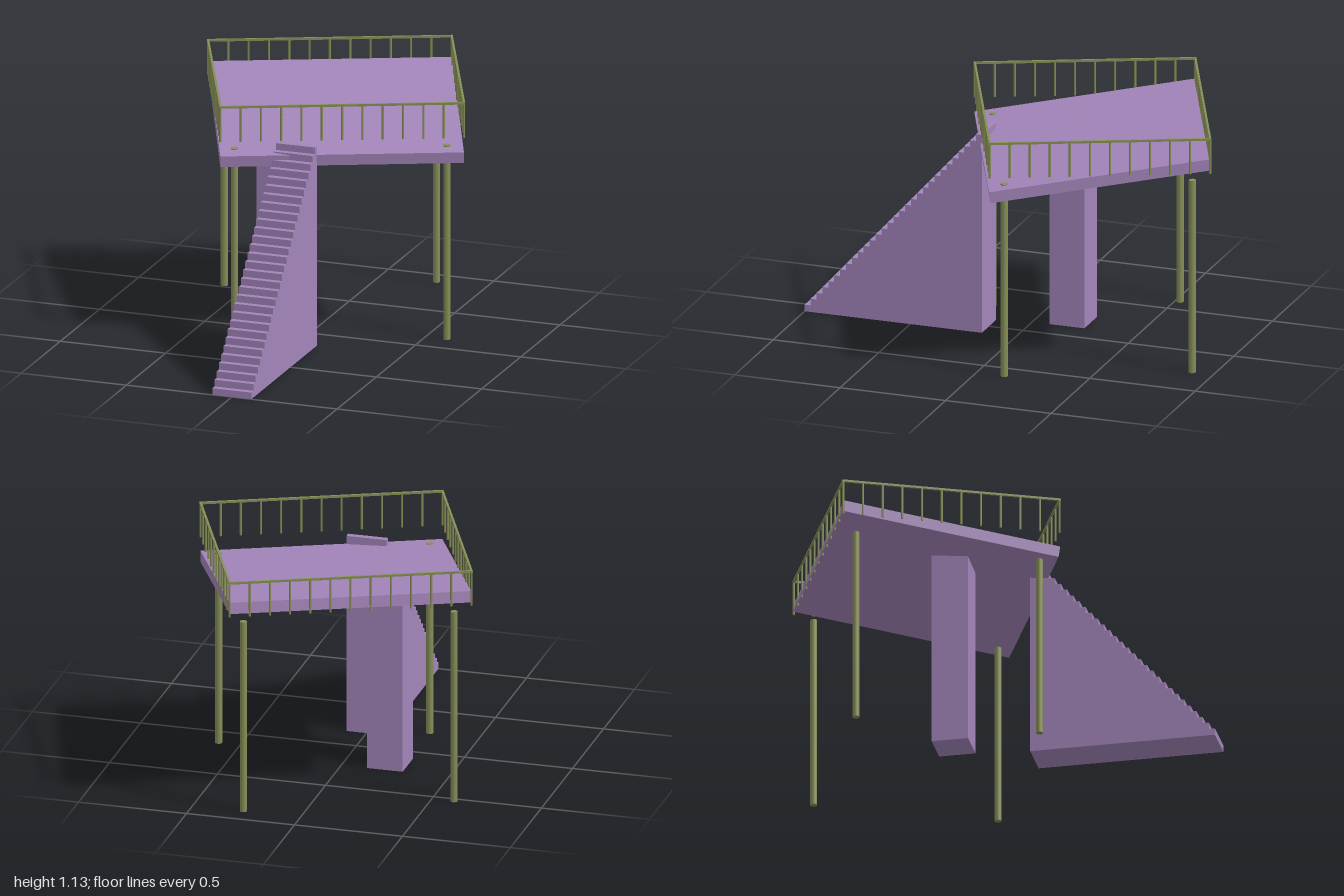
import * as THREE from 'three';

export function createModel() {
  const model = new THREE.Group();
  const purple = new THREE.MeshStandardMaterial({ color: 0xa385ba });
  purple.name = 'purple';
  const olive = new THREE.MeshStandardMaterial({ color: 0x868e56 });
  olive.name = 'olive';

  const add = (parent, name, geometry, material, x, y, z) => {
    const mesh = new THREE.Mesh(geometry, material);
    mesh.name = name;
    mesh.position.set(x, y, z);
    parent.add(mesh);
    return mesh;
  };

  // Staircase: stepped side profile extruded across its width
  const steps = 30, frontZ = 1, backZ = 0.16, stairTop = 0.933, stairWidth = 0.185;
  const profile = new THREE.Shape();
  profile.moveTo(-frontZ, 0);
  for (let i = 0; i < steps; i++) {
    const y = stairTop * (i + 1) / steps;
    const run = (frontZ - backZ) / steps;
    profile.lineTo(-frontZ + run * i, y);
    profile.lineTo(-frontZ + run * (i + 1), y);
  }
  profile.lineTo(-backZ, 0);
  const stairs = new THREE.ExtrudeGeometry(profile, { depth: stairWidth, bevelEnabled: false });
  stairs.translate(0, 0, -stairWidth / 2).rotateY(Math.PI / 2);
  add(model, 'staircase', stairs, purple, 0, 0, 0);

  // Square column under the platform
  add(model, 'column', new THREE.BoxGeometry(0.165, 0.93, 0.165), purple, -0.2025, 0.465, -0.165);

  // Round poles: four legs and one inside the column that just breaks the deck
  const poles = [
    ['frontRightLeg', -0.27, 0.24, 0.907], ['frontLeftLeg', 0.6, -0.132, 0.907],
    ['backLeftLeg', 0.265, -0.9, 0.907], ['backRightLeg', -0.603, -0.525, 0.907],
    ['columnCore', -0.19, -0.177, 0.95],
  ];
  for (const [name, x, z, h] of poles) {
    add(model, name, new THREE.CylinderGeometry(0.016, 0.016, h, 16), olive, x, h / 2, z);
  }

  // Turned platform: tilted deck with a level railing
  const platform = new THREE.Group();
  platform.name = 'platform';
  platform.position.set(0, 0, -0.33);
  platform.rotation.y = 0.412;
  model.add(platform);

  const width = 1.086, depth = 0.983;
  const deck = add(platform, 'deck', new THREE.BoxGeometry(width, 0.052, 0.99), purple, 0, 0.934, 0);
  deck.rotation.x = 0.1355;

  // Railing bars and posts
  const railY = 1.122, postBottom = 0.96;
  const postGeometry = new THREE.CylinderGeometry(0.005, 0.005, railY - postBottom, 8);
  const post = (x, z) => add(platform, 'railingPost', postGeometry, olive, x, (railY + postBottom) / 2, z);
  for (const side of [-1, 1]) {
    add(platform, 'longRail', new THREE.BoxGeometry(width + 0.01, 0.01, 0.01), olive, 0, railY, side * depth / 2);
    add(platform, 'sideRail', new THREE.BoxGeometry(0.01, 0.01, depth - 0.01), olive, side * width / 2, railY, 0);
    for (let i = 0; i <= 12; i++) post(width * (i / 12 - 0.5), side * depth / 2);
    for (let i = 1; i < 11; i++) post(side * width / 2, depth * (i / 11 - 0.5));
  }
  return model;
}
